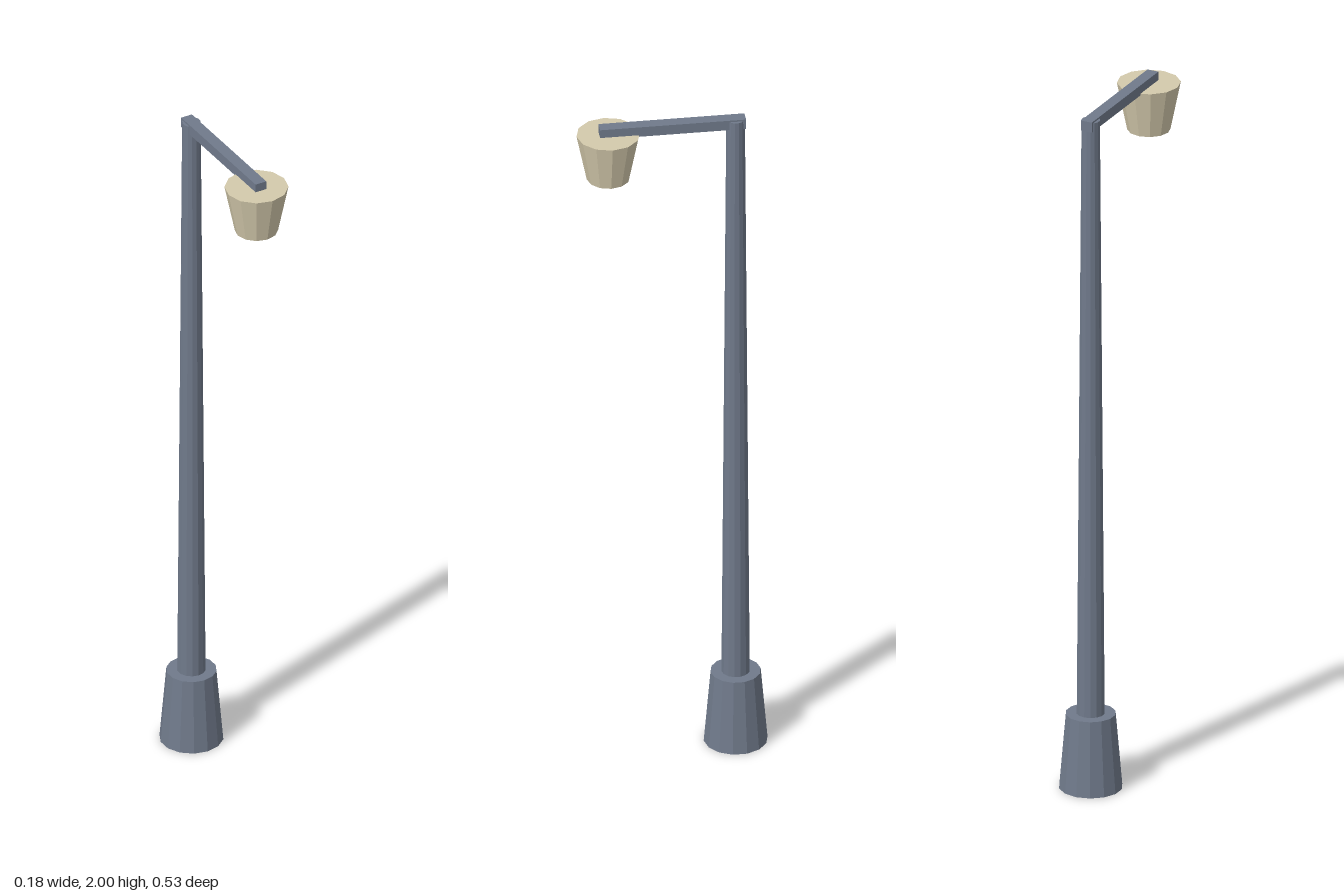
import * as THREE from 'three';

export function createModel() {
  const lampPost = new THREE.Group();
  lampPost.name = 'streetLamp';

  const steel = new THREE.MeshStandardMaterial({ color: 0x707a8b, flatShading: true });
  steel.name = 'blue grey steel';
  const cream = new THREE.MeshStandardMaterial({ color: 0xd4caac, flatShading: true });
  cream.name = 'cream shade';

  const poleZ = -0.178;
  const lampZ = 0.177;

  const add = (name, geometry, material, y, z) => {
    const mesh = new THREE.Mesh(geometry, material);
    mesh.name = name;
    mesh.position.set(0, y, z);
    lampPost.add(mesh);
  };

  // Tapered part standing between two heights
  const taper = (name, material, rTop, rBottom, y0, y1, z, sides) =>
    add(name, new THREE.CylinderGeometry(rTop, rBottom, y1 - y0, sides), material, (y0 + y1) / 2, z);

  // Footing and mast
  taper('base', steel, 0.07, 0.089, 0, 0.22, poleZ, 14);
  taper('pole', steel, 0.026, 0.041, 0.02, 1.995, poleZ, 14);

  // Horizontal arm reaching forward over the lamp
  add('arm', new THREE.BoxGeometry(0.034, 0.03, 0.407), steel, 1.985, -0.0015);

  // Lamp shade, narrowing downwards
  taper('lampShade', cream, 0.0885, 0.06, 1.835, 1.975, lampZ, 12);

  return lampPost;
}
